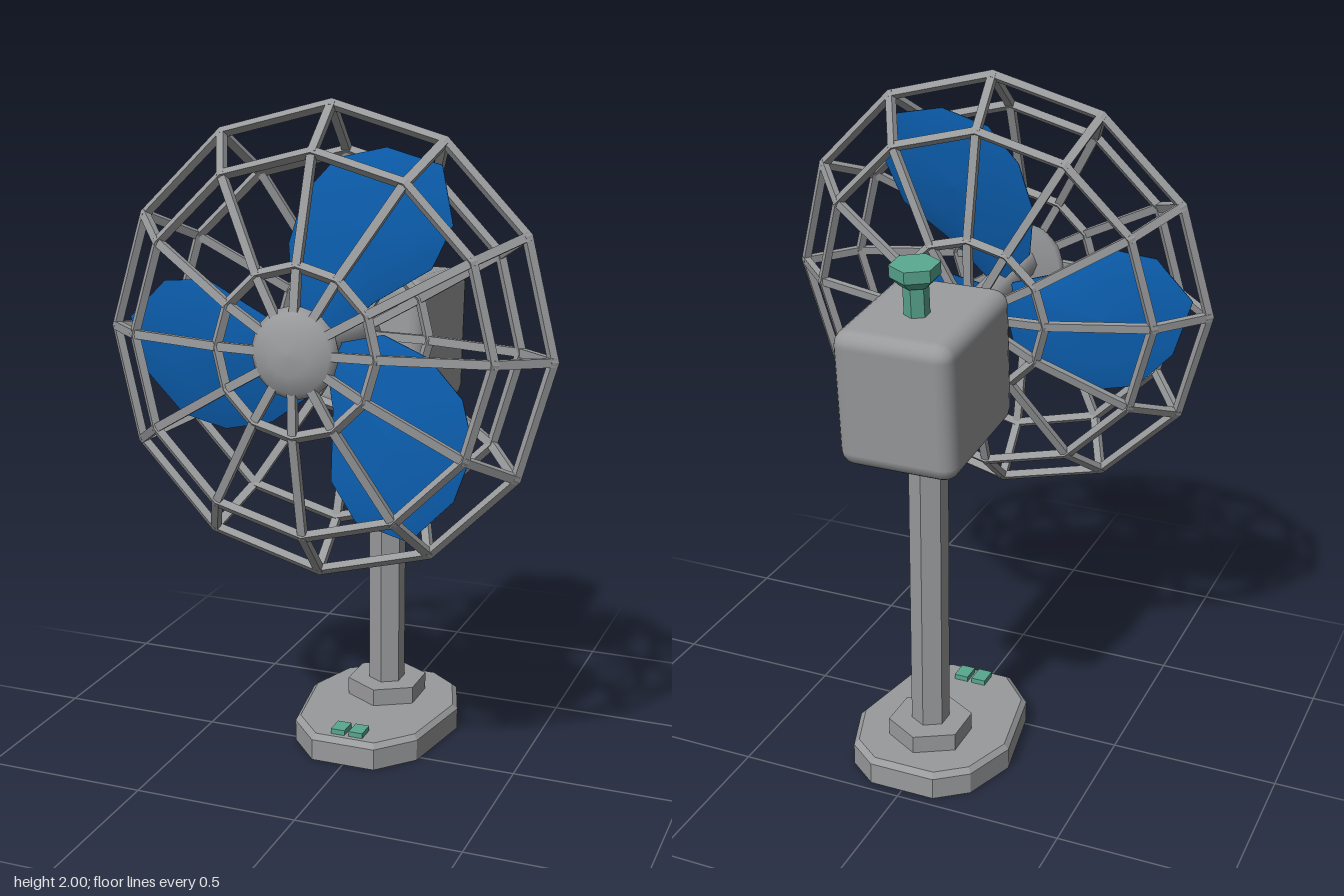
import * as THREE from 'three';
import { mergeGeometries } from 'three/addons/utils/BufferGeometryUtils.js';
import { RoundedBoxGeometry } from 'three/addons/geometries/RoundedBoxGeometry.js';

const TILT = -0.083;

function material(name, color, side = THREE.FrontSide) {
  const m = new THREE.MeshStandardMaterial({ color, side });
  m.name = name;
  return m;
}

// Stacks scaled copies of a clockwise outline: loops are [scale, height], from +z down
function loft(outline, [cx, cy], loops, lift = () => 0) {
  const pos = [], index = [], n = outline.length;
  loops.forEach(([s, h], k) => outline.forEach(([px, py], i) => {
    const x = cx + (px - cx) * s, y = cy + (py - cy) * s;
    pos.push(x, y, h + lift(x, y));
    if (k === loops.length - 1) return;
    const a = k * n + i, b = k * n + (i + 1) % n;
    index.push(a, b + n, a + n, a, b, b + n);
  }));
  const g = new THREE.BufferGeometry();
  g.setAttribute('position', new THREE.Float32BufferAttribute(pos, 3));
  g.setIndex(index);
  g.computeVertexNormals();
  return g;
}

function faceted(geometry) {
  const g = geometry.index ? geometry.toNonIndexed() : geometry;
  g.computeVertexNormals();
  return g;
}

const prism = (top, bottom, height, sides = 6) =>
  faceted(new THREE.CylinderGeometry(top, bottom, height, sides));

export function createModel() {
  const grey = material('grey metal', 0x999a9c);
  const greyShell = material('grey shell', 0x999a9c, THREE.DoubleSide);
  const blue = material('blue blades', 0x0b5cab);
  const teal = material('teal controls', 0x58a78e);

  const model = new THREE.Group();
  model.name = 'deskFan';
  const add = (parent, name, geometry, mat, x = 0, y = 0, z = 0) => {
    const mesh = new THREE.Mesh(geometry, mat);
    mesh.name = name;
    mesh.position.set(x, y, z);
    parent.add(mesh);
    return mesh;
  };

  // Hollow foot, collar and pole
  const half = [[0.1, 0.47], [0.19, 0.4], [0.245, 0.24], [0.2, -0.02], [0.1, -0.13]];
  const foot = [...half, ...half.map(([x, y]) => [-x, y]).reverse()];
  const footGeo = faceted(loft(foot, [0, 0.19], [[0, 0.08], [0.94, 0.08], [1, 0.066], [1, 0]]));
  add(model, 'foot', footGeo, greyShell).rotation.x = -Math.PI / 2;
  add(model, 'collar', prism(0.125, 0.125, 0.06), grey, 0, 0.104, -0.262);
  add(model, 'pole', prism(0.057, 0.057, 0.96), grey, 0, 0.6, -0.26);

  // Two push buttons
  for (const s of [1, -1]) {
    add(model, s > 0 ? 'leftButton' : 'rightButton',
      new THREE.BoxGeometry(0.044, 0.03, 0.06), teal, s * 0.029, 0.081, 0.066);
  }

  // Motor housing with its knob
  const motor = new THREE.Group();
  motor.name = 'motor';
  motor.position.set(0, 1.245, -0.277);
  motor.rotation.x = TILT;
  model.add(motor);
  add(motor, 'motorHousing', new RoundedBoxGeometry(0.35, 0.405, 0.44, 2, 0.045), grey);
  add(motor, 'knobStem', prism(0.036, 0.036, 0.13), teal, 0, 0.24, -0.03);
  add(motor, 'knobFlare', prism(0.07, 0.045, 0.025), teal, 0, 0.301, -0.03);
  add(motor, 'knobCap', prism(0.07, 0.07, 0.035), teal, 0, 0.331, -0.03);

  // Tilted head: local z is the spinning axis
  const head = new THREE.Group();
  head.name = 'head';
  head.position.set(0, 1.335, 0.25);
  head.rotation.x = TILT;
  model.add(head);
  const shaft = new THREE.CylinderGeometry(0.048, 0.048, 0.56, 8).rotateX(Math.PI / 2);
  add(head, 'shaft', shaft, grey, 0, 0, -0.06);

  // Domed hub cap
  const dome = [[0, 0.195], [0.12, 0.195], [0.128, 0.215], [0.11, 0.237], [0.06, 0.258], [0, 0.262]];
  const hub = new THREE.LatheGeometry(dome.map(([r, h]) => new THREE.Vector2(r, h)), 12);
  add(head, 'hubCap', hub.rotateX(Math.PI / 2), grey);

  // Cage rings
  const rings = [[0.23, 0.213], [0.523, 0.128], [0.648, 0], [0.523, -0.128], [0.23, -0.213]];
  const cage = rings.map(([r, z]) =>
    faceted(new THREE.TorusGeometry(r, 0.016, 4, 12)).translate(0, 0, z));

  // Cage ribs follow the rings from the hub to the shaft
  const rib = [[0.1, 0.225], ...rings, [0.04, -0.222]];
  for (let i = 0; i < 12; i++) {
    for (let k = 0; k < rib.length - 1; k++) {
      const [r0, z0] = rib[k], [r1, z1] = rib[k + 1];
      const bar = new THREE.BoxGeometry(Math.hypot(r1 - r0, z1 - z0) + 0.008, 0.024, 0.02);
      bar.rotateY(-Math.atan2(z1 - z0, r1 - r0));
      bar.translate((r0 + r1) / 2, 0, (z0 + z1) / 2);
      cage.push(bar.rotateZ(i * Math.PI / 6).toNonIndexed());
    }
  }
  add(head, 'cage', mergeGeometries(cage), grey);

  // Three pitched, lens-shaped blades
  const outline = [[-0.11, 0.125], [-0.127, 0.265], [-0.085, 0.405], [0.01, 0.505], [0.16, 0.54],
    [0.325, 0.5], [0.365, 0.345], [0.31, 0.225], [0.14, 0.12], [0.04, 0.03], [-0.02, 0.03]];
  const section = [[0, 0.024], [0.6, 0.018], [1, 0.003], [1, -0.003], [0.6, -0.018], [0, -0.024]];
  const blade = loft(outline, [0.12, 0.31], section, (x, y) => 0.13 * (0.93 * x - 0.37 * y));
  for (let i = 0; i < 3; i++) {
    add(head, 'blade' + (i + 1), blade, blue).rotation.z = i * Math.PI * 2 / 3;
  }
  return model;
}
